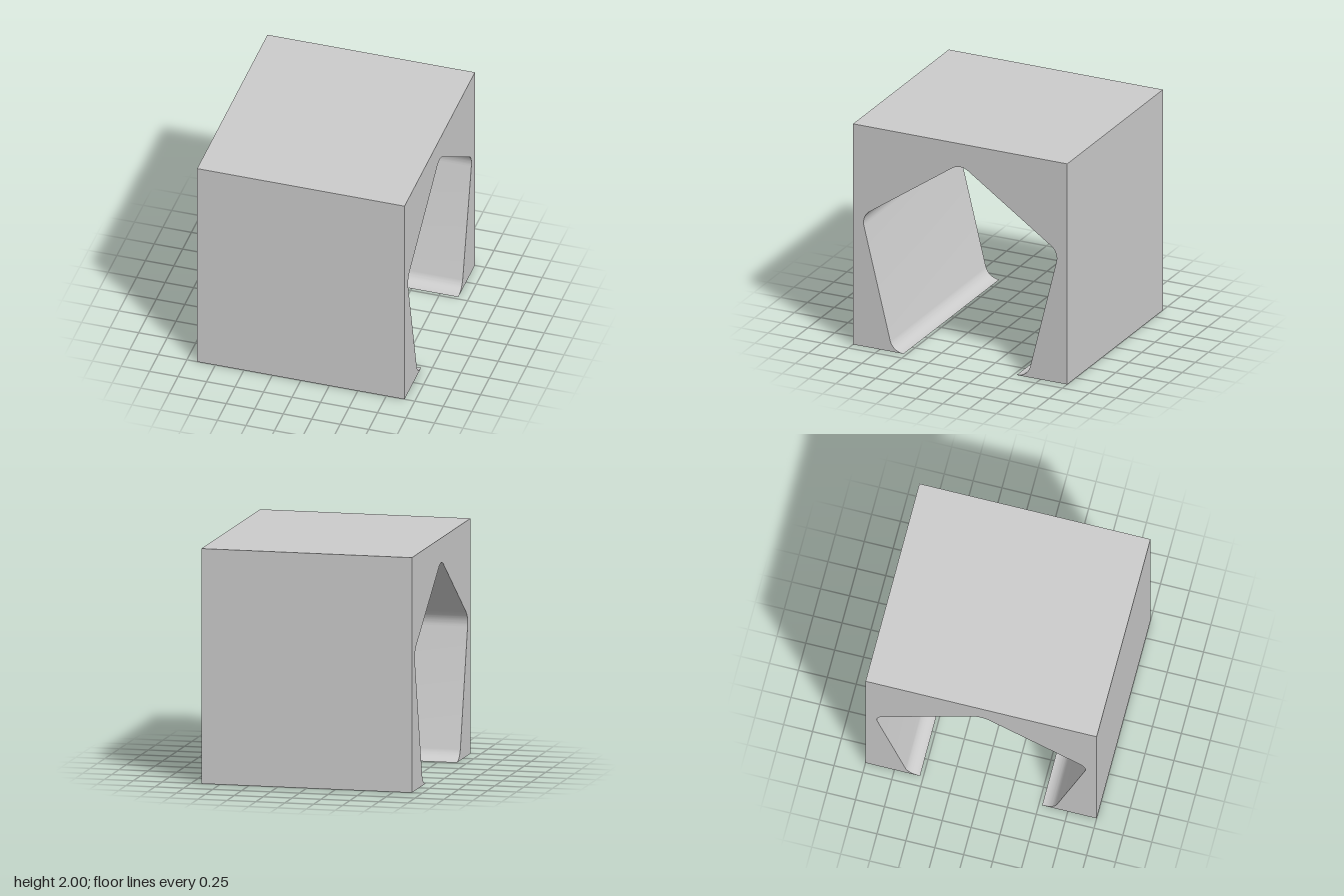
import * as THREE from 'three';
import { toCreasedNormals } from 'three/addons/utils/BufferGeometryUtils.js';

const WIDTH = 1.82;
const FILLET = 0.13;

// Adds a line to a corner and rounds it with an arc tangent to both sides
function roundCorner(shape, prev, corner, next, r) {
  const a = prev.clone().sub(corner).normalize();
  const b = next.clone().sub(corner).normalize();
  const half = Math.acos(a.dot(b)) / 2;
  const start = corner.clone().addScaledVector(a, r / Math.tan(half));
  const end = corner.clone().addScaledVector(b, r / Math.tan(half));
  const centre = corner.clone().addScaledVector(a.clone().add(b).normalize(), r / Math.sin(half));
  const angle = (p) => Math.atan2(p.y - centre.y, p.x - centre.x);
  const clockwise = a.x * b.y - a.y * b.x > 0;
  shape.lineTo(start.x, start.y);
  shape.absarc(centre.x, centre.y, r, angle(start), angle(end), clockwise);
}

export function createModel() {
  const group = new THREE.Group();
  group.name = 'tunnelBlock';

  // Pentagonal opening, starting and ending on the open floor
  const path = [
    [0, 0], [-0.63, 0], [-0.92, 1.18], [0, 1.818], [0.92, 1.18], [0.63, 0], [0, 0],
  ].map(([x, y]) => new THREE.Vector2(x, y));

  // Square outline with the rounded opening cut through its bottom edge
  const shape = new THREE.Shape();
  shape.moveTo(-1, 0);
  for (let i = 1; i < path.length - 1; i++) {
    roundCorner(shape, path[i - 1], path[i], path[i + 1], FILLET);
  }
  shape.lineTo(1, 0);
  shape.lineTo(1, 2);
  shape.lineTo(-1, 2);
  shape.closePath();

  // Extruded from side to side
  const geometry = new THREE.ExtrudeGeometry(shape, {
    depth: WIDTH, bevelEnabled: false, curveSegments: 10,
  });
  geometry.translate(0, 0, -WIDTH / 2);
  geometry.rotateY(Math.PI / 2);

  const block = new THREE.Mesh(
    toCreasedNormals(geometry, 0.5),
    new THREE.MeshStandardMaterial({ color: 0xcccccc }),
  );
  block.name = 'archedBlock';
  group.add(block);
  return group;
}
